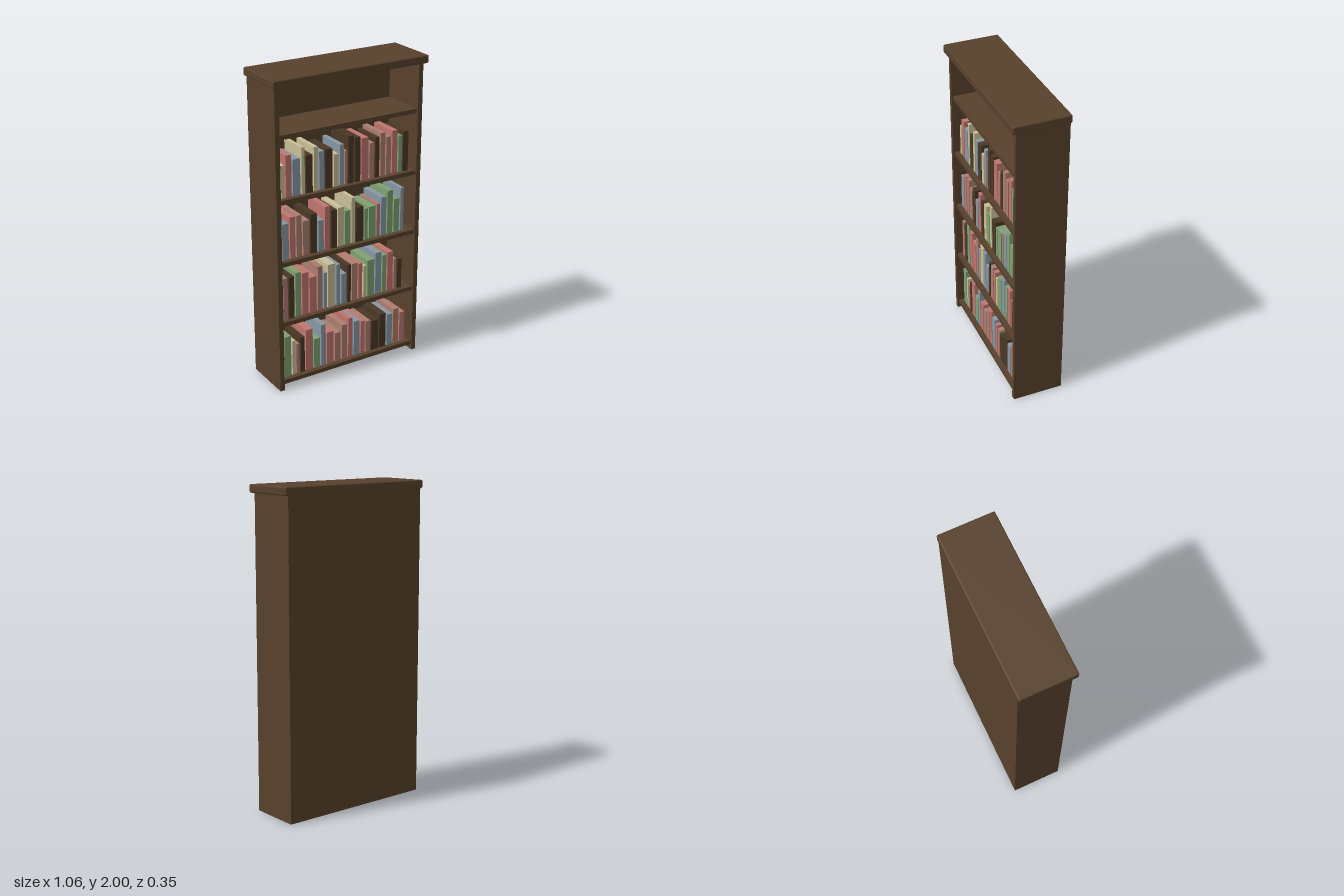
import * as THREE from 'three';
import { RoundedBoxGeometry } from 'three/addons/geometries/RoundedBoxGeometry.js';

const material = (name, color) => {
  const m = new THREE.MeshStandardMaterial({ color });
  m.name = name;
  return m;
};

// Adds a box given by its lower and upper corners
function addBox(parent, name, mat, [x0, y0, z0], [x1, y1, z1]) {
  const mesh = new THREE.Mesh(new THREE.BoxGeometry(x1 - x0, y1 - y0, z1 - z0), mat);
  mesh.position.set((x0 + x1) / 2, (y0 + y1) / 2, (z0 + z1) / 2);
  mesh.name = name;
  parent.add(mesh);
  return mesh;
}

export function createModel() {
  const model = new THREE.Group();
  model.name = 'bookcase';
  const wood = material('darkWood', 0x57412c);
  const covers = {
    R: material('redCover', 0xc0766f),
    T: material('roseCover', 0xac7d70),
    G: material('greenCover', 0x7fa273),
    B: material('blueCover', 0x8798a5),
    C: material('creamCover', 0xcabf97),
    K: material('brownCover', 0x4b3825),
  };

  // Case: two sides, back panel and overhanging top
  addBox(model, 'leftSide', wood, [0.48, 0, -0.175], [0.51, 1.955, 0.15]);
  addBox(model, 'rightSide', wood, [-0.51, 0, -0.175], [-0.48, 1.955, 0.15]);
  addBox(model, 'backPanel', wood, [-0.48, 0, -0.175], [0.48, 1.955, -0.157]);
  const top = new THREE.Mesh(new RoundedBoxGeometry(1.06, 0.05, 0.354, 2, 0.008), wood);
  top.position.y = 1.975;
  top.name = 'top';
  model.add(top);

  // Five evenly spaced shelves
  for (let i = 0; i < 5; i++) {
    const y = 0.037 + 0.4 * i;
    addBox(model, 'shelf', wood, [-0.48, y, -0.157], [0.48, y + 0.027, 0.14]);
  }

  // A row of books: cover letters, left edges (plus the row's end) and heights in thousandths
  function addBooks(level, letters, edges, heights) {
    const row = new THREE.Group();
    row.name = 'bookRow';
    const y = 0.064 + 0.4 * level;
    heights.forEach((h, i) => {
      const x0 = edges[i] / 1000;
      const x1 = edges[i + 1] / 1000 - 0.009;
      addBox(row, 'book', covers[letters[i]], [x0, y, -0.09], [x1, y + h / 1000, 0.11]);
    });
    model.add(row);
  }

  addBooks(0, 'GCTKRGBRTTRBRTKKBTR',
    [-455, -399, -370, -339, -302, -243, -190, -148, -90, -37, 11, 53, 106, 143, 188, 249, 307, 357, 407, 454],
    [280, 238, 209, 246, 286, 206, 291, 225, 204, 246, 280, 246, 233, 222, 212, 241, 225, 251, 214]);
  addBooks(1, 'TKGRRTBCBBKTRCGBGRTK',
    [-455, -415, -370, -323, -270, -212, -169, -138, -79, -42, 5, 37, 85, 122, 153, 212, 265, 304, 354, 381, 421],
    [280, 280, 299, 283, 241, 299, 246, 294, 280, 206, 257, 257, 246, 220, 251, 288, 259, 270, 214, 204]);
  addBooks(2, 'BRTTKBRKCGCKGGTBGGB',
    [-455, -402, -357, -312, -259, -206, -159, -114, -66, -16, 32, 66, 127, 159, 217, 249, 296, 344, 394, 426],
    [235, 270, 270, 225, 257, 204, 283, 251, 257, 225, 302, 230, 209, 214, 220, 257, 291, 225, 291]);
  addBooks(3, 'CRBCKCBKCBTKKRTKTTRGK',
    [-455, -423, -376, -317, -286, -233, -196, -153, -95, -53, -16, 8, 53, 101, 159, 201, 238, 280, 323, 370, 405, 451],
    [204, 262, 228, 291, 235, 278, 243, 246, 206, 259, 214, 299, 283, 270, 228, 257, 278, 246, 278, 238, 259]);

  return model;
}
